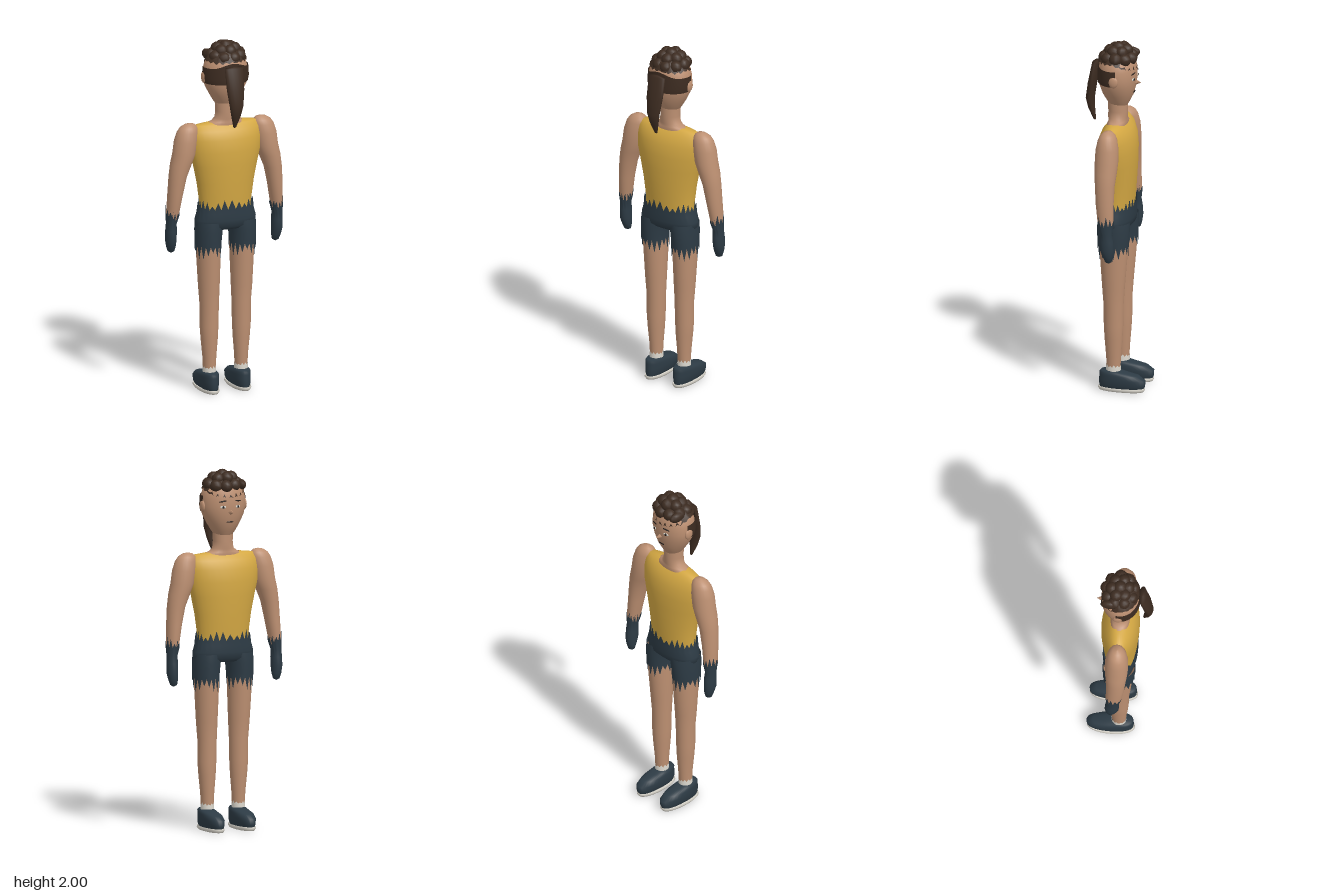
import * as THREE from 'three';

const mat = (name, color) => {
  const m = new THREE.MeshStandardMaterial({ color, side: THREE.DoubleSide });
  m.name = name;
  return m;
};

// Skin over horizontal cross-sections [y, cx, cz, rx, rz], listed from top to bottom.
// top / bottom give a height offset for each point of the end rings.
function loft(rows, { n = 32, from = 0, arc = Math.PI * 2, power = 2, top, bottom, grow = 0 } = {}) {
  const closed = arc > 6.28, cols = closed ? n : n + 1, pos = [], idx = [];
  const bend = v => Math.sign(v) * Math.abs(v) ** (2 / power);
  rows.forEach(([y, cx, cz, rx, rz], j) => {
    for (let i = 0; i < cols; i++) {
      const a = from + arc * i / n;
      let dy = 0;
      if (j === 0 && top) dy = top(i, a);
      if (j === rows.length - 1 && bottom) dy = bottom(i, a);
      pos.push(cx + (rx + grow) * bend(Math.cos(a)), y + dy, cz + (rz + grow) * bend(Math.sin(a)));
    }
  });
  for (let j = 0; j < rows.length - 1; j++) for (let i = 0; i < n; i++) {
    const k = (i + 1) % cols, a = j * cols + i, d = j * cols + k;
    idx.push(a, d, a + cols, d, d + cols, a + cols);
  }
  const g = new THREE.BufferGeometry();
  g.setAttribute('position', new THREE.Float32BufferAttribute(pos, 3));
  g.setIndex(idx);
  g.computeVertexNormals();
  return g;
}

// Ragged cloth edge: every second point becomes a spike of varying length
const ragged = size => i => (i % 2) * size * (0.35 + 0.65 * Math.abs(Math.sin(i * 12.9)));

export function createModel() {
  const root = new THREE.Group();
  const skin = mat('skin', 0xbd9072), yellow = mat('yellow shirt', 0xd4a843), navy = mat('navy cloth', 0x2d3b45);
  const hair = mat('brown hair', 0x3d2c21), white = mat('off white', 0xdedad0), dark = mat('dark features', 0x201a18);
  const add = (name, geo, material, parent = root) => {
    const m = new THREE.Mesh(geo, material);
    m.name = name;
    parent.add(m);
    return m;
  };

  // Torso
  add('shirt', loft([
    [1.54, 0, 0, 0.1, 0.035], [1.53, 0, 0, 0.185, 0.05], [1.5, 0, 0, 0.21, 0.076],
    [1.45, 0, 0, 0.213, 0.097], [1.38, 0, 0, 0.208, 0.105], [1.3, 0, 0, 0.188, 0.105],
    [1.2, 0, 0, 0.167, 0.1], [1.1, 0, 0, 0.153, 0.094], [1.0, 0, 0, 0.15, 0.085]]), yellow);
  add('shortsHips', loft([
    [1.055, 0, 0, 0.158, 0.096], [1.03, 0, 0, 0.165, 0.096], [0.99, 0, 0, 0.177, 0.097],
    [0.955, 0, 0, 0.175, 0.092], [0.935, 0, 0, 0.15, 0.07], [0.93, 0, 0, 0.001, 0.001]],
    { n: 52, power: 2.2, top: ragged(0.055) }), navy);

  // Neck and head
  add('neck', loft([
    [1.68, 0, 0, 0.06, 0.056], [1.6, 0, 0, 0.055, 0.054], [1.56, 0, 0, 0.06, 0.054],
    [1.543, 0, 0, 0.085, 0.05], [1.53, 0, 0, 0.125, 0.055], [1.5, 0, 0, 0.14, 0.05]]), skin);
  const headRows = [
    [1.965, 0, 0, 0.001, 0.001], [1.955, 0, 0, 0.045, 0.045], [1.93, 0, 0, 0.085, 0.078],
    [1.89, 0, 0, 0.115, 0.098], [1.85, 0, 0, 0.125, 0.105], [1.8, 0, 0, 0.129, 0.107],
    [1.75, 0, 0, 0.118, 0.1], [1.7, 0, -0.002, 0.092, 0.086], [1.66, 0, -0.004, 0.068, 0.064],
    [1.635, 0, -0.004, 0.05, 0.05]];
  add('head', loft(headRows), skin);

  // Hair: crown cap with a low fringe, band round the back, curls and ponytail
  add('hairCrown', loft([...headRows.slice(0, 3), [1.9, 0, 0, 0.112, 0.097]], {
    n: 40, grow: 0.008, bottom: (i, a) => -0.045 * Math.max(0, -Math.sin(a)) - ragged(0.015)(i) }), hair);
  add('hairBand', loft([[1.86, 0, 0, 0.125, 0.104], [1.8, 0, 0, 0.129, 0.107], [1.77, 0, 0, 0.123, 0.105]], {
    grow: 0.005, from: -0.15, arc: Math.PI + 0.3,
    top: (i, a) => 0.03 * Math.max(0, Math.sin(a)) ** 6 }), hair);
  const curls = new THREE.Group();
  curls.name = 'curls';
  root.add(curls);
  [[9, 0.074, 1.915, 0.036], [6, 0.045, 1.95, 0.036], [1, 0, 1.962, 0.038]].forEach(([count, r, y, size]) => {
    for (let i = 0; i < count; i++) {
      const a = i / count * Math.PI * 2 + r * 9;
      const c = add('curl', new THREE.SphereGeometry(size, 10, 8), hair, curls);
      c.position.set(Math.cos(a) * r * 1.08 + 0.005, y + 0.004 * Math.sin(i * 5), Math.sin(a) * r - 0.004);
      c.rotation.set(i, i * 2, 0);
    }
  });
  const lock = add('sideLock', new THREE.SphereGeometry(0.03, 10, 8), hair, curls);
  lock.position.set(-0.085, 1.915, -0.05);
  lock.scale.set(0.8, 1, 1.8);
  add('ponytail', loft([
    [1.875, 0, 0.122, 0.001, 0.001], [1.87, 0, 0.122, 0.055, 0.022], [1.75, 0, 0.145, 0.052, 0.024],
    [1.66, 0, 0.158, 0.04, 0.024], [1.6, 0, 0.15, 0.027, 0.018], [1.535, 0, 0.132, 0.008, 0.007],
    [1.53, 0, 0.132, 0.001, 0.001]], { n: 16 }), hair);

  // Face
  const nose = add('nose', new THREE.ConeGeometry(0.02, 0.04, 4), skin);
  nose.position.set(0, 1.77, -0.112);
  nose.rotation.x = -Math.PI / 2;
  const feature = (name, x, y, z, w, h, material, tilt = 0) => {
    const m = add(name, new THREE.SphereGeometry(0.5, 12, 8), material);
    m.position.set(x, y, z);
    m.scale.set(w, h, 0.008);
    m.rotation.set(0, -x * 6.4, tilt);
  };
  feature('mouth', 0, 1.715, -0.092, 0.045, 0.008, dark);

  for (const s of [1, -1]) {
    const side = s > 0 ? 'left' : 'right';
    feature(side + 'EyeWhite', s * 0.045, 1.8, -0.1, 0.034, 0.016, white);
    feature(side + 'Pupil', s * 0.045, 1.8, -0.103, 0.014, 0.015, dark);
    feature(side + 'Brow', s * 0.046, 1.832, -0.099, 0.044, 0.008, dark, -s * 0.12);
    const ear = add(side + 'Ear', new THREE.SphereGeometry(0.03, 12, 8), skin);
    ear.position.set(s * 0.127, 1.8, -0.005);
    ear.scale.set(0.4, 1.1, 0.9);

    // Arm and glove
    const mirror = rows => rows.map(([y, cx, ...r]) => [y, s * cx, ...r]);
    add(side + 'Arm', loft(mirror([
      [1.547, 0.215, 0, 0.001, 0.001], [1.541, 0.215, 0, 0.03, 0.024], [1.525, 0.22, 0, 0.05, 0.041],
      [1.5, 0.226, 0, 0.061, 0.053], [1.45, 0.237, 0, 0.066, 0.063], [1.38, 0.247, 0, 0.065, 0.065],
      [1.32, 0.266, 0, 0.06, 0.062], [1.25, 0.285, 0, 0.05, 0.055], [1.15, 0.299, -0.003, 0.042, 0.05],
      [1.05, 0.31, -0.01, 0.035, 0.044], [0.98, 0.316, -0.015, 0.026, 0.03]]), { n: 24 }), skin);
    add(side + 'Glove', loft(mirror([
      [1.03, 0.311, -0.011, 0.037, 0.045], [0.98, 0.317, -0.015, 0.029, 0.034], [0.94, 0.317, -0.018, 0.031, 0.038],
      [0.89, 0.318, -0.02, 0.031, 0.039], [0.85, 0.315, -0.025, 0.027, 0.029], [0.82, 0.313, -0.028, 0.019, 0.018],
      [0.81, 0.313, -0.028, 0.001, 0.001]]), { n: 24, top: ragged(0.06) }), navy);

    // Leg and shorts leg
    add(side + 'Leg', loft(mirror([
      [0.95, 0.1, 0, 0.07, 0.085], [0.8, 0.1, -0.002, 0.067, 0.078], [0.6, 0.098, 0, 0.059, 0.063],
      [0.5, 0.096, 0, 0.053, 0.056], [0.38, 0.097, 0, 0.052, 0.054], [0.3, 0.096, 0, 0.047, 0.05],
      [0.2, 0.095, 0, 0.038, 0.042], [0.13, 0.095, 0, 0.035, 0.038]])), skin);
    add(side + 'ShortsLeg', loft(mirror([
      [0.98, 0.094, 0, 0.08, 0.09], [0.93, 0.1, 0, 0.076, 0.092],
      [0.865, 0.103, 0, 0.073, 0.087], [0.845, 0.102, 0, 0.072, 0.086]]),
      { n: 34, bottom: i => -ragged(0.075)(i) }), navy);

    // Sock, shoe and sole
    add(side + 'Sock', loft(mirror([[0.138, 0.095, 0, 0.037, 0.041], [0.1, 0.095, 0, 0.037, 0.041]]),
      { n: 24, top: ragged(0.015) }), white);
    add(side + 'Shoe', loft(mirror([
      [0.116, 0.095, 0.015, 0.001, 0.001], [0.116, 0.095, 0.015, 0.036, 0.055], [0.105, 0.095, 0.002, 0.044, 0.077],
      [0.09, 0.095, -0.033, 0.049, 0.112], [0.065, 0.095, -0.049, 0.051, 0.131], [0.035, 0.095, -0.049, 0.048, 0.13],
      [0.018, 0.095, -0.047, 0.04, 0.125]]), { power: 2.3 }), navy);
    add(side + 'Sole', loft(mirror([
      [0.022, 0.095, -0.045, 0.05, 0.13], [0.012, 0.095, -0.045, 0.054, 0.133],
      [0, 0.095, -0.045, 0.045, 0.125], [0, 0.095, -0.045, 0.001, 0.001]]), { power: 2.2 }), white);
  }
  return root;
}
